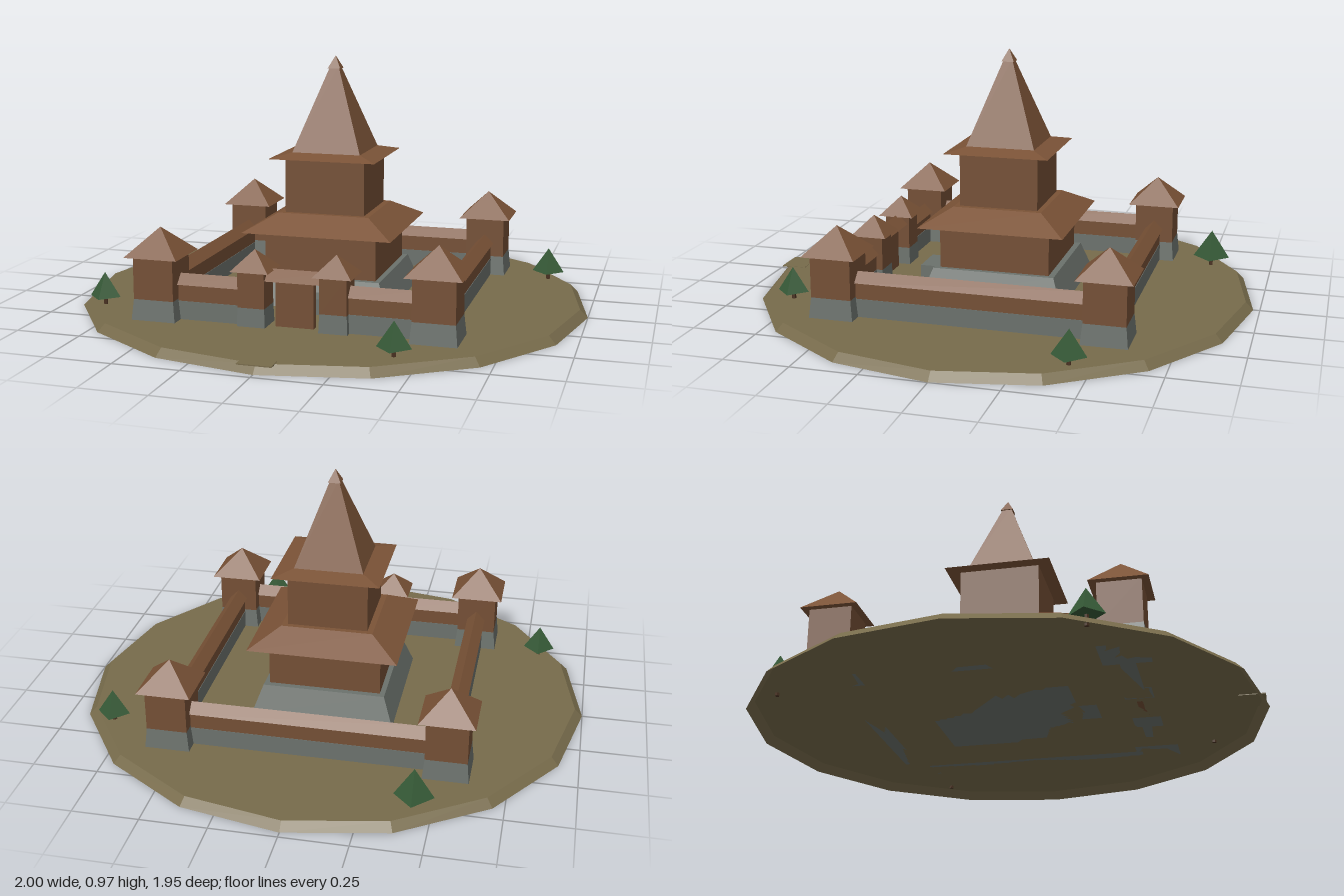
import * as THREE from 'three';

const mat = (name, color) => {
  const m = new THREE.MeshStandardMaterial({ color });
  m.name = name;
  return m;
};

export function createModel() {
  const wood = mat('wood', 0x744f35);
  const roof = mat('roofWood', 0x7b5337);
  const stone = mat('stone', 0x6b716c);
  const earth = mat('earth', 0x776b4b);
  earth.side = THREE.DoubleSide;
  const leaf = mat('foliage', 0x365a37);
  const bark = mat('bark', 0x4a3222);

  const model = new THREE.Group();
  model.name = 'woodenFort';

  const add = (parent, name, geometry, material, x = 0, y = 0, z = 0) => {
    const flat = geometry.index ? geometry.toNonIndexed() : geometry;
    flat.computeVertexNormals();
    const mesh = new THREE.Mesh(flat, material);
    mesh.name = name;
    mesh.position.set(x, y, z);
    parent.add(mesh);
    return mesh;
  };

  const group = (name, x, z, parent = model) => {
    const g = new THREE.Group();
    g.name = name;
    g.position.set(x, 0, z);
    parent.add(g);
    return g;
  };

  // Four-sided block between two heights, with half widths at the bottom and top
  const block = (parent, name, material, y0, y1, half0, half1 = half0, depth = 1) => {
    const g = half1 === 0
      ? new THREE.ConeGeometry(half0 * Math.SQRT2, y1 - y0, 4)
      : new THREE.CylinderGeometry(half1 * Math.SQRT2, half0 * Math.SQRT2, y1 - y0, 4);
    g.rotateY(Math.PI / 4).scale(1, 1, depth);
    return add(parent, name, g, material, 0, (y0 + y1) / 2, 0);
  };

  const box = (parent, name, material, w, y0, y1, d, x = 0, z = 0) =>
    add(parent, name, new THREE.BoxGeometry(w, y1 - y0, d), material, x, (y0 + y1) / 2, z);

  // Gabled roof running along x
  const gable = (parent, length, half, y0, y1) => {
    const s = new THREE.Shape([
      new THREE.Vector2(-half, y0), new THREE.Vector2(half, y0), new THREE.Vector2(0, y1),
    ]);
    const g = new THREE.ExtrudeGeometry(s, { depth: length, bevelEnabled: false });
    g.translate(0, 0, -length / 2).rotateY(Math.PI / 2);
    return add(parent, 'gableRoof', g, roof);
  };

  const G = 0.03; // ground level

  // Round mound, a shell open underneath, and the path end at its front edge
  const mound = group('mound', 0, 0);
  const rim = new THREE.CylinderGeometry(0.97, 1, G, 16, 1, true).scale(1, 1, 0.975);
  add(mound, 'moundRim', rim, earth, 0, G / 2, 0);
  const top = new THREE.CircleGeometry(0.97, 16).rotateX(-Math.PI / 2).scale(1, 1, 0.975);
  add(mound, 'moundTop', top, earth, 0, G, 0);
  box(model, 'path', earth, 0.125, G - 0.003, G + 0.001, 0.1, 0, 0.915);

  // Central keep
  const keep = group('keep', 0, -0.002);
  block(keep, 'plinth', stone, G, 0.14, 0.28, 0.24);
  block(keep, 'lowerStorey', wood, 0.14, 0.32, 0.22, 0.22, 0.985);
  block(keep, 'lowerRoof', roof, 0.31, 0.375, 0.294, 0.18, 0.973);
  block(keep, 'upperStorey', wood, 0.37, 0.595, 0.157, 0.157, 0.985);
  block(keep, 'upperEave', roof, 0.588, 0.607, 0.21, 0.135, 0.98);
  block(keep, 'spire', roof, 0.607, 0.935, 0.135, 0.016);
  block(keep, 'spireCap', roof, 0.925, 0.974, 0.025, 0);
  box(keep, 'step', stone, 0.145, G, 0.09, 0.1, 0, 0.3);

  // Corner towers
  const TX = 0.526, TZ = 0.513;
  for (const sx of [-1, 1]) for (const sz of [-1, 1]) {
    const t = group('cornerTower', sx * TX, sz * TZ);
    block(t, 'towerFoot', stone, G, 0.108, 0.086, 0.078);
    block(t, 'towerBody', wood, 0.108, 0.275, 0.078);
    block(t, 'towerRoof', roof, 0.268, 0.37, 0.104, 0);
  }

  // Curtain walls
  const wall = (name, length, x, z, turn = 0) => {
    const w = group(name, x, z);
    w.rotation.y = turn;
    box(w, 'wallFoot', stone, length, G, 0.1, 0.056);
    box(w, 'wallBody', wood, length, 0.1, 0.168, 0.052);
    gable(w, length, 0.037, 0.163, 0.2);
  };
  wall('backWall', 0.92, 0, -TZ);
  for (const s of [-1, 1]) {
    wall('sideWall', 0.9, s * TX, 0, Math.PI / 2);
    wall('frontWall', 0.28, s * 0.33, TZ);
  }

  // Gatehouse
  const gate = group('gatehouse', 0, TZ);
  for (const s of [-1, 1]) {
    const t = group('gateTower', s * 0.155, 0, gate);
    block(t, 'gateTowerFoot', stone, G, 0.1, 0.054, 0.051);
    block(t, 'gateTowerBody', wood, 0.1, 0.24, 0.051);
    block(t, 'gateTowerRoof', roof, 0.236, 0.31, 0.073, 0);
  }
  gable(gate, 0.26, 0.045, 0.203, 0.242);
  box(gate, 'door', wood, 0.145, G, 0.206, 0.03);

  // Trees: x, z, size
  const trees = [[-0.435, -0.76, 1.15], [0.795, -0.431, 1], [-0.8, 0.429, 0.98], [0.423, 0.746, 0.98]];
  for (const [x, z, s] of trees) {
    const t = group('tree', x, z);
    add(t, 'trunk', new THREE.CylinderGeometry(0.007, 0.009, 0.06 * s, 5), bark, 0, G + 0.02 * s, 0);
    add(t, 'crown', new THREE.ConeGeometry(0.064 * s, 0.097 * s, 4), leaf, 0, G + 0.08 * s, 0);
  }

  return model;
}
